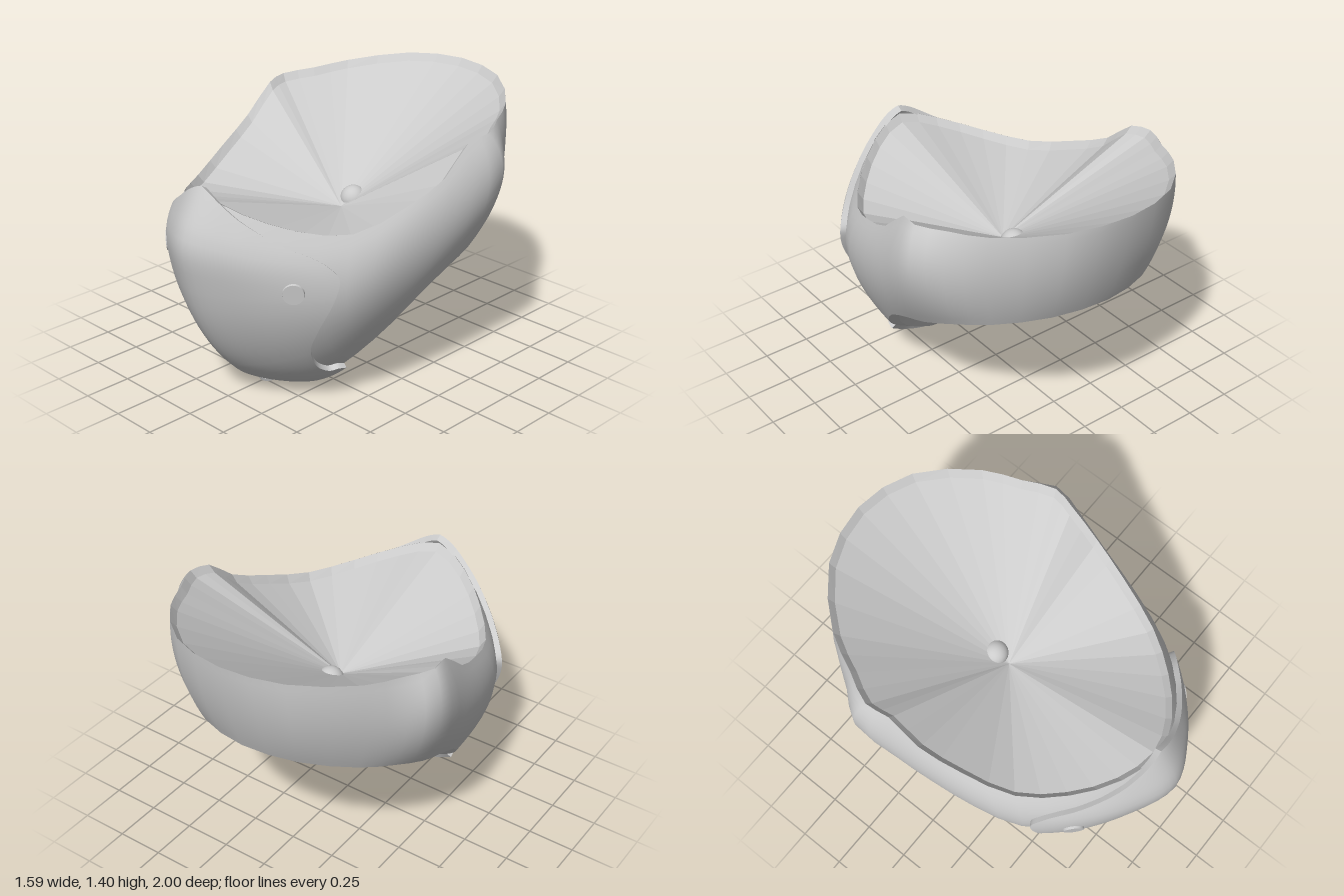
import * as THREE from 'three';
import { mergeVertices } from 'three/addons/utils/BufferGeometryUtils.js';

const V = (x, y, z) => new THREE.Vector3(x, y, z);
const smooth = new THREE.MeshStandardMaterial({ color: 0xcccccc, side: THREE.DoubleSide });
const faceted = new THREE.MeshStandardMaterial({ color: 0xcccccc, side: THREE.DoubleSide, flatShading: true });

// Closed guide curves: half a loop from front centre to back centre, then mirrored
const HALF = 11, LOOP = 2 * HALF, SEGMENTS = 44;
function guide(half) {
  const pts = half.map(p => V(...p));
  for (let i = HALF - 1; i > 0; i--) pts.push(V(-pts[i].x, pts[i].y, pts[i].z));
  const curve = new THREE.CatmullRomCurve3(pts, true);
  return s => curve.getPoint((((s % LOOP) + LOOP) % LOOP) / LOOP);
}
const topRim = guide([
  [0, 1.12, .865], [.2, 1.06, .8], [.4, .985, .64], [.56, .955, .43], [.65, 1.04, .17], [.7, 1.14, -.05],
  [.705, 1.285, -.22], [.725, 1.305, -.34], [.65, 1.32, -.5], [.56, 1.345, -.68], [.31, 1.39, -.92], [0, 1.405, -1]]);
const middle = guide([
  [0, .57, .9], [.21, .58, .825], [.415, .6, .695], [.59, .62, .5], [.68, .73, .27], [.735, .85, .02],
  [.77, .97, -.17], [.79, 1.06, -.38], [.69, 1.05, -.51], [.565, 1.08, -.67], [.31, 1.12, -.89], [0, 1.14, -.955]]);
const bottomRim = guide([
  [0, .04, .42], [.2, .06, .41], [.36, .14, .375], [.47, .25, .3], [.57, .4, .17], [.64, .55, .02],
  [.66, .64, -.15], [.66, .7, -.3], [.6, .76, -.47], [.5, .8, -.62], [.28, .85, -.8], [0, .87, -.87]]);

// Outer skin: a parabola through the three guides, with a rounder chin and a nose ridge at the front
function skin(s, t) {
  const p = topRim(s).multiplyScalar((1 - t) * (1 - 2 * t))
    .addScaledVector(middle(s), 4 * t * (1 - t))
    .addScaledVector(bottomRim(s), t * (2 * t - 1));
  const around = Math.min(Math.abs(s), LOOP - Math.abs(s));
  const front = Math.max(0, 1 - around / 3);
  p.y -= 1.1 * front * t ** 4 * (1 - t);
  p.z += 0.03 * front * Math.exp(-(((t - 0.2) / 0.13) ** 2));
  return p;
}
function skinNormal(s, t) {
  const e = 0.02;
  const ds = skin(s + e, t).sub(skin(s - e, t));
  const dt = skin(s, t + e).sub(skin(s, t - e));
  return dt.cross(ds).normalize();
}
const raised = (s, t, h) => skin(s, t).addScaledVector(skinNormal(s, t), h);

// Surface from a grid of points
function grid(nu, nv, point) {
  const pos = [], index = [];
  for (let j = 0; j <= nv; j++) {
    for (let i = 0; i <= nu; i++) pos.push(...point(i / nu, j / nv).toArray());
  }
  for (let j = 0; j < nv; j++) {
    for (let i = 0; i < nu; i++) {
      const a = j * (nu + 1) + i, c = a + nu + 1;
      index.push(a, c, a + 1, a + 1, c, c + 1);
    }
  }
  let geo = new THREE.BufferGeometry();
  geo.setAttribute('position', new THREE.Float32BufferAttribute(pos, 3));
  geo.setIndex(index);
  geo = mergeVertices(geo, 1e-5);
  geo.computeVertexNormals();
  return geo;
}

export function createModel() {
  const model = new THREE.Group();
  const add = (name, geo, mat = smooth) => {
    const mesh = new THREE.Mesh(geo, mat);
    mesh.name = name;
    model.add(mesh);
    return mesh;
  };

  // Mask body wrapping the whole head
  add('maskBody', grid(SEGMENTS, 14, (u, v) => skin(u * LOOP, v)));

  // Narrow lips turned inward at both rims
  const inset = (p, width, drop) => {
    const inward = V(-p.x, 0, -0.06 - p.z).normalize();
    p.addScaledVector(inward, width);
    p.y -= drop;
    return p;
  };
  const topInner = s => inset(topRim(s), 0.03, 0.04);
  const bottomInner = s => inset(bottomRim(s), 0.055, -0.005);
  add('topLip', grid(SEGMENTS, 1, (u, v) => topInner(u * LOOP).lerp(topRim(u * LOOP), v)), faceted);
  add('bottomLip', grid(SEGMENTS, 1, (u, v) => bottomRim(u * LOOP).lerp(bottomInner(u * LOOP), v)));

  // Faceted funnels closing the inside from above and below
  const apex = V(0, 0.8, -0.06), lowApex = V(0, 0.785, -0.06);
  add('upperLining', grid(SEGMENTS, 1, (u, v) => apex.clone().lerp(topInner(u * LOOP), v)), faceted);
  add('lowerLining', grid(SEGMENTS, 1, (u, v) => bottomInner(u * LOOP).lerp(lowApex, v)), faceted);
  add('centreBall', new THREE.SphereGeometry(0.07, 20, 14)).position.set(0, 0.82, -0.15);

  // Face plate: outline as (half width, height along the skin)
  const outline = new THREE.CatmullRomCurve3([
    [0, -.03], [.45, -.005], [1, .03], [1.9, .1], [2.6, .18], [2.85, .29], [2.75, .43], [2.4, .62],
    [2.08, .76], [2, .87], [2.1, .935], [2.35, .965], [2.5, 1]].map(([s, t]) => V(s, t, 0)));
  const THICK = 0.028;
  add('facePlate', grid(28, 60, (u, v) => {
    const o = outline.getPoint(v);
    return raised((2 * u - 1) * o.x, o.y, THICK);
  }));

  // Plate edge, down both sides and along the chin
  const edge = (name, at, n) => add(name, grid(n, 1, (u, v) => {
    const o = at(u);
    return raised(o.x, o.y, THICK - v * (THICK + 0.01));
  }));
  for (const side of [-1, 1]) {
    edge(side > 0 ? 'leftPlateEdge' : 'rightPlateEdge', u => {
      const o = outline.getPoint(u);
      o.x *= side;
      return o;
    }, 60);
  }
  edge('chinPlateEdge', u => V((2 * u - 1) * 2.5, 1, 0), 28);

  // Round studs on the cheeks and under the chin
  const stud = new THREE.CylinderGeometry(0.052, 0.056, 0.02, 24);
  for (const side of [-1, 1]) {
    const s = side * 2.1, t = 0.36;
    const mesh = add(side > 0 ? 'leftStud' : 'rightStud', stud);
    mesh.position.copy(raised(s, t, THICK));
    mesh.quaternion.setFromUnitVectors(V(0, 1, 0), skinNormal(s, t));
  }
  const chinStud = add('chinStud', stud);
  chinStud.position.set(0, 0.02, 0.47);
  chinStud.rotation.x = Math.PI + 0.18;

  return model;
}
